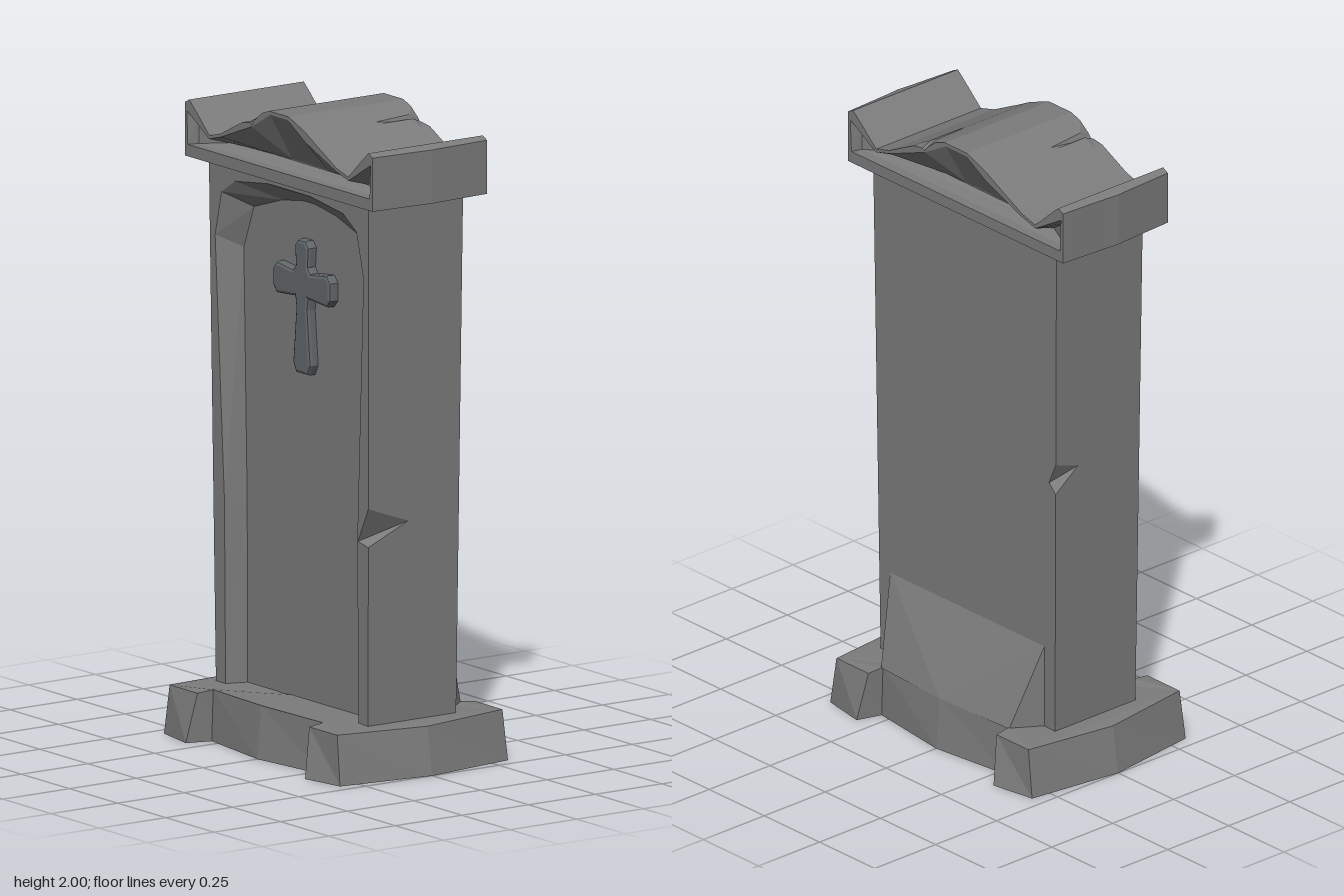
import * as THREE from 'three';

const stone = new THREE.MeshStandardMaterial({ color: 0x7c7c7c, flatShading: true });
const darkStone = new THREE.MeshStandardMaterial({ color: 0x62676a, flatShading: true });

// Projections whose u x v is the outward direction of a flat face
const FRONT = ([x, y]) => new THREE.Vector2(x, y);
const BACK = ([x, y]) => new THREE.Vector2(-x, y);
const RIGHT = ([, y, z]) => new THREE.Vector2(-z, y);
const TOP = ([x, , z]) => new THREE.Vector2(z, x);
const BOTTOM = ([x, , z]) => new THREE.Vector2(x, z);

const turn = ([x, y, z]) => [-x, y, -z]; // half turn about y
const flipX = (pts) => [...pts].reverse().map(([x, ...rest]) => [-x, ...rest]);

// Collects faceted triangles
class Facets {
  constructor() { this.pos = []; }
  tri(a, b, c) { this.pos.push(...a, ...b, ...c); }
  // Flat polygon with an optional hole
  cap(ring, proj, hole) {
    const all = hole ? [...ring, ...hole] : ring;
    const flat = all.map(proj);
    const outline = flat.slice(0, ring.length);
    const holes = hole ? [flat.slice(ring.length)] : [];
    for (const [i, j, k] of THREE.ShapeUtils.triangulateShape(outline, holes)) {
      const ccw = THREE.ShapeUtils.area([flat[i], flat[j], flat[k]]) > 0;
      if (ccw) this.tri(all[i], all[j], all[k]);
      else this.tri(all[i], all[k], all[j]);
    }
  }
  // Wall from ring a to the ring b behind it
  band(a, b, closed = true) {
    const n = a.length;
    for (let i = 0; i < (closed ? n : n - 1); i++) {
      const j = (i + 1) % n;
      this.tri(a[i], b[i], b[j]);
      this.tri(a[i], b[j], a[j]);
    }
  }
  // Add other facets, turned half round
  addTurned(other) {
    for (let i = 0; i < other.pos.length; i += 3) this.pos.push(...turn(other.pos.slice(i, i + 3)));
  }
  mesh(name) {
    const g = new THREE.BufferGeometry();
    g.setAttribute('position', new THREE.Float32BufferAttribute(this.pos, 3));
    g.computeVertexNormals();
    const m = new THREE.Mesh(g, stone);
    m.name = name;
    return m;
  }
}

// Plinth with four projecting corner feet
function makeBase() {
  const ring = (quarter) => {
    const half = [...quarter, ...quarter.slice(0, -1).reverse().map(([x, y, z]) => [x, y, -z])];
    return [...half.slice(0, -1), ...half.map(turn).slice(0, -1)];
  };
  const top = ring([[0, 0.165, 0.28], [0.285, 0.16, 0.255], [0.29, 0.155, 0.31], [0.435, 0.155, 0.31], [0.475, 0.15, 0]]);
  const bottom = ring([[0, 0, 0.295], [0.285, 0, 0.26], [0.31, 0, 0.34], [0.457, 0, 0.315], [0.5, 0, 0]]);
  const f = new Facets();
  f.band(top, bottom);
  f.cap(top, TOP);
  f.cap(bottom, BOTTOM);
  return f.mesh('base');
}

// Tapered upright slab with an arched front recess and two chipped edges
function makeSlab() {
  const y0 = 0.15, y1 = 1.785;
  const t = (y) => (y - y0) / (y1 - y0);
  const sideX = (y) => 0.395 + 0.02 * t(y);
  const faceZ = (y) => 0.165 + 0.012 * t(y);
  const corner = (y, sx, sz) => [sx * sideX(y), y, sz * faceZ(y)];

  // Face outline with a chip in its +x edge, and the facets of that side
  const chipped = (yTop, yApex, yLow, apexZ, innerX, innerY) => {
    const upper = corner(yTop, 1, 1), lower = corner(yLow, 1, 1);
    const inner = [innerX, innerY, faceZ(innerY)], apex = [sideX(yApex), yApex, apexZ];
    const side = new Facets();
    side.cap([corner(y0, 1, -1), corner(y1, 1, -1), corner(y1, 1, 1), upper, apex, lower, corner(y0, 1, 1)], RIGHT);
    side.tri(upper, inner, apex);
    side.tri(apex, inner, lower);
    const face = [corner(y0, 1, 1), lower, inner, upper, corner(y1, 1, 1), corner(y1, -1, 1), corner(y0, -1, 1)];
    return { face, side };
  };
  const front = chipped(0.835, 0.78, 0.715, 0.02, 0.348, 0.725);
  const back = chipped(1.06, 1.03, 0.96, 0.08, 0.375, 0.99);
  const f = new Facets();

  // Front rim and recess of the arch
  const archRim = [[0.345, y0], [0.345, 0.73], [0.385, 1.55], [0.35, 1.69], [0.28, 1.735], [0.11, 1.758]];
  const archBed = [[0.32, y0], [0.323, 0.73], [0.34, 1.51], [0.287, 1.645], [0.14, 1.692], [0.03, 1.709]];
  const rim = [...archRim, ...flipX(archRim)].map(([x, y]) => [x, y, faceZ(y)]);
  const bed = [...archBed, ...flipX(archBed)].map(([x, y]) => [x, y, 0.1]);
  f.cap([...front.face, ...[...rim].reverse()], FRONT);
  f.band(bed, rim, false);
  f.cap(bed, FRONT);

  // Back, sides and top
  f.cap(back.face.map(turn), BACK);
  f.pos.push(...front.side.pos);
  f.addTurned(back.side);
  f.cap([corner(y1, 1, 1), corner(y1, 1, -1), corner(y1, -1, -1), corner(y1, -1, 1)], TOP);
  return f.mesh('slab');
}

// Sloping support at the foot of the back
function makeButtress() {
  const f = new Facets();
  const [tl, bl, cl] = [[0.35, 0.43, -0.166], [0.29, 0.157, -0.258], [0.35, 0.15, -0.16]];
  const [tr, br, cr] = [tl, bl, cl].map(([x, y, z]) => [-x, y, z]);
  const mid = [0, 0.165, -0.282];
  f.tri(tl, mid, tr);
  f.tri(tl, bl, mid);
  f.tri(tr, mid, br);
  f.tri(tl, cl, bl);
  f.tri(tr, br, cr);
  return f.mesh('backButtress');
}

// Curved cap with upturned ends, recessed gables and small cracks
function makePediment() {
  const crest = [[0.487, 1.95], [0.465, 1.961], [0.44, 1.94], [0.36, 1.868], [0.3, 1.885], [0.19, 1.94],
    [0.15, 1.961], [0.14, 1.966], [0.13, 1.97], [0.09, 1.986], [0.05, 2]];
  // One cross-section: crack depth, depth beside the crack, bulge of the ends
  const section = (z, crack, beside, bulge) => {
    const crackX = z > 0 ? -0.14 : 0.14;
    const drop = (x) => (x === crackX ? crack : Math.abs(x - crackX) < 0.02 ? beside : 0);
    const top = [...crest, ...flipX(crest)].map(([x, y]) =>
      [Math.abs(x) > 0.48 ? x + Math.sign(x) * bulge : x, y - drop(x), z]);
    return [[-0.487 - bulge, 1.783, z], [0.487 + bulge, 1.783, z], ...top];
  };
  const sections = [[0.215, 0.025, 0.015, 0], [0.18, 0.018, 0, 0.002], [0.05, 0, 0, 0.009], [0, 0, 0, 0.013],
    [-0.05, 0, 0, 0.009], [-0.18, 0.018, 0, 0.002], [-0.215, 0.025, 0.015, 0]].map((a) => section(...a));
  const f = new Facets();
  for (let i = 0; i < sections.length - 1; i++) f.band(sections[i], sections[i + 1]);

  // Gable recesses: a thin rim whose underside slopes back to a ledge
  const rimEdge = [[0.472, 1.82], [0.477, 1.925], [0.362, 1.857], [0.3, 1.874], [0.14, 1.935], [0.045, 1.989]];
  const bedEdge = [[0.462, 1.82, 0.18], [0.462, 1.9, 0.18], [0.362, 1.835, 0.14], [0.3, 1.835, 0.13],
    [0.14, 1.838, 0.13], [0.045, 1.84, 0.13]];
  const rim = [...rimEdge, ...flipX(rimEdge)].map(([x, y]) => [x, y, 0.215]);
  const bed = [...bedEdge, ...flipX(bedEdge)];
  const gable = new Facets();
  gable.cap(sections[0], FRONT, rim);
  gable.band(bed, rim);
  gable.cap(bed, FRONT);
  f.pos.push(...gable.pos);
  f.addTurned(gable);
  return f.mesh('pediment');
}

// Raised cross with flared arms
function makeCross() {
  const half = [[0.03, 1.178], [0.046, 1.21], [0.03, 1.38], [0.035, 1.415], [0.13, 1.408], [0.149, 1.43],
    [0.149, 1.485], [0.13, 1.507], [0.045, 1.497], [0.032, 1.515], [0.037, 1.575], [0.02, 1.595]];
  const shape = new THREE.Shape([...half, ...flipX(half)].map(([x, y]) => new THREE.Vector2(x, y)));
  const geometry = new THREE.ExtrudeGeometry(shape, {
    depth: 0.02, bevelThickness: 0.012, bevelSize: 0.01, bevelOffset: -0.01, bevelSegments: 2,
  });
  const m = new THREE.Mesh(geometry, darkStone);
  m.position.z = 0.1;
  m.name = 'cross';
  return m;
}

export function createModel() {
  const group = new THREE.Group();
  group.name = 'gravestone';
  group.add(makeBase(), makeSlab(), makeButtress(), makePediment(), makeCross());
  return group;
}
